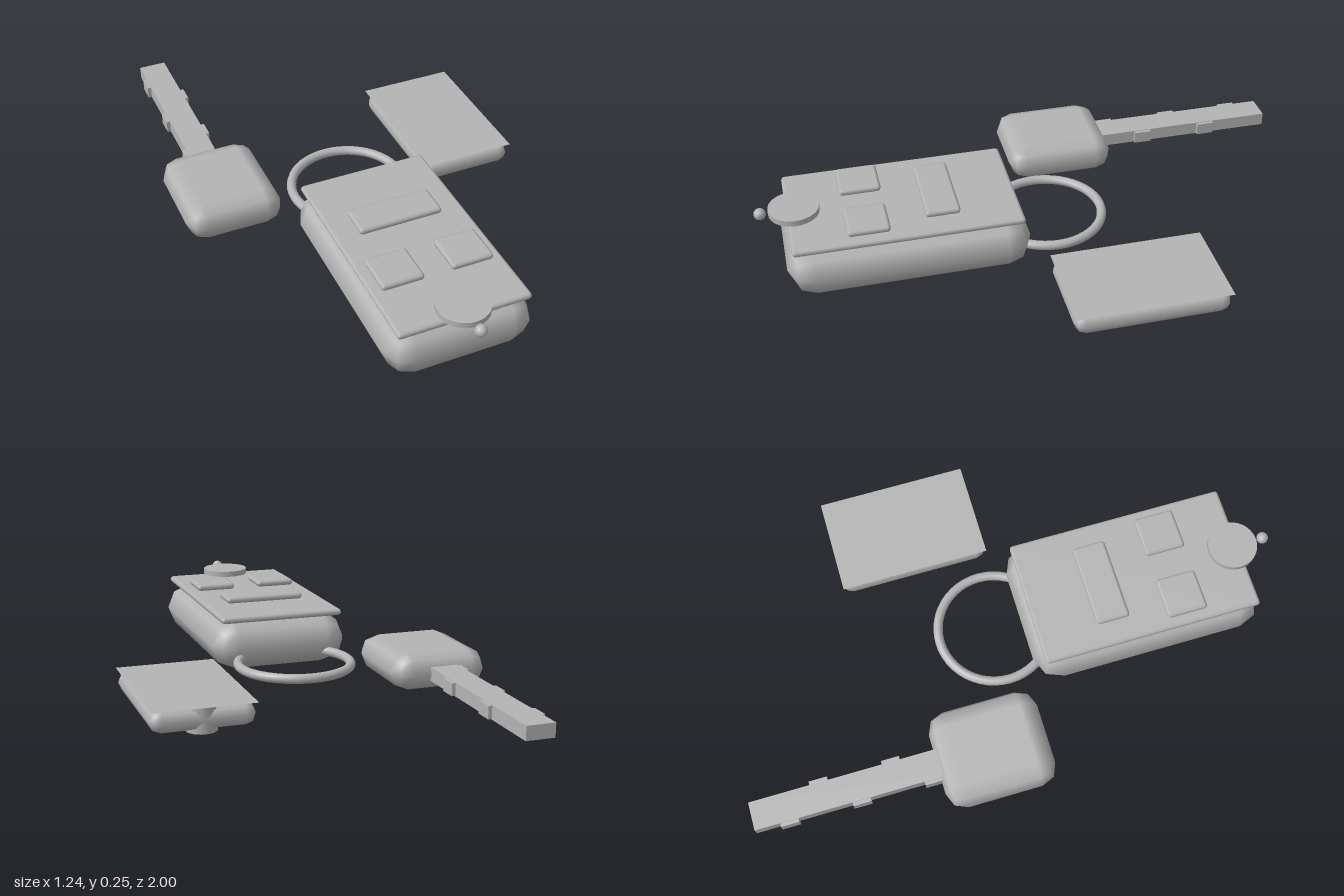
import * as THREE from 'three';

const grey = new THREE.MeshStandardMaterial({ color: 0xb4b4b4 });
grey.name = 'grey';
const greySheet = grey.clone();
greySheet.name = 'grey sheet';
greySheet.side = THREE.DoubleSide;

// Box with every edge rounded by two facets per quarter turn, given by its limits
function roundedBox([x0, x1], [y0, y1], [z0, z1], r) {
  const geo = new THREE.BoxGeometry(1, 1, 1, 3, 3, 3);
  const pos = geo.attributes.position;
  const half = new THREE.Vector3(x1 - x0, y1 - y0, z1 - z0).multiplyScalar(0.5);
  const v = new THREE.Vector3();
  const n = new THREE.Vector3();
  const outer = (c) => (Math.abs(c) > 0.4 ? Math.sign(c) : 0);
  for (let i = 0; i < pos.count; i++) {
    v.fromBufferAttribute(pos, i);
    n.set(outer(v.x), outer(v.y), outer(v.z)).normalize();
    pos.setXYZ(i,
      Math.sign(v.x) * (half.x - r) + n.x * r,
      Math.sign(v.y) * (half.y - r) + n.y * r,
      Math.sign(v.z) * (half.z - r) + n.z * r);
    geo.attributes.normal.setXYZ(i, n.x, n.y, n.z);
  }
  return geo.translate((x0 + x1) / 2, (y0 + y1) / 2, (z0 + z1) / 2);
}

function box([x0, x1], [y0, y1], [z0, z1]) {
  return new THREE.BoxGeometry(x1 - x0, y1 - y0, z1 - z0)
    .translate((x0 + x1) / 2, (y0 + y1) / 2, (z0 + z1) / 2);
}

export function createModel() {
  const model = new THREE.Group();
  model.name = 'keySet';
  const group = (name) => {
    const g = new THREE.Group();
    g.name = name;
    model.add(g);
    return g;
  };
  const add = (parent, name, geo, material = grey) => {
    const mesh = new THREE.Mesh(geo, material);
    mesh.name = name;
    parent.add(mesh);
    return mesh;
  };

  // Remote fob with face plate and buttons
  const fob = group('remoteFob');
  const fx = -0.015;
  add(fob, 'fobBody', roundedBox([fx - 0.255, fx + 0.255], [0.007, 0.187], [0.08, 0.915], 0.09));
  add(fob, 'facePlate', roundedBox([fx - 0.229, fx + 0.229], [0.189, 0.213], [0.107, 0.893], 0.012));
  const buttonY = [0.213, 0.237];
  add(fob, 'wideButton', roundedBox([fx - 0.148, fx + 0.148], buttonY, [0.315, 0.435], 0.012));
  for (const [name, cx] of [['rightButton', fx - 0.121], ['leftButton', fx + 0.121]]) {
    add(fob, name, roundedBox([cx - 0.074, cx + 0.074], buttonY, [0.56, 0.705], 0.012));
  }
  add(fob, 'roundButton', new THREE.CylinderGeometry(0.087, 0.087, 0.021, 32)
    .translate(fx, 0.2265, 0.865));
  add(fob, 'bead', new THREE.SphereGeometry(0.021, 12, 8).translate(fx, 0.224, 0.979));

  // Split ring joining the fob
  add(model, 'keyRing', new THREE.TorusGeometry(0.201, 0.017, 10, 48)
    .rotateX(Math.PI / 2).translate(fx, 0.061, -0.016));

  // Key: head, blade and teeth on both edges
  const key = group('key');
  add(key, 'keyHead', roundedBox([-0.62, -0.272], [0.007, 0.14], [-0.347, 0.047], 0.066));
  const bladeY = [0.049, 0.097];
  add(key, 'keyBlade', box([-0.497, -0.397], bladeY, [-1, -0.3]));
  const toothSpots = [-0.88, -0.754, -0.627, -0.498, -0.372];
  toothSpots.forEach((z, i) => {
    const x = i % 2 ? [-0.42, -0.384] : [-0.51, -0.47];
    add(key, 'keyTooth', box(x, [0.051, 0.095], [z - 0.032, z + 0.032]));
  });

  // Tag: rounded body, thin cover sheet and a vertical eyelet at the back edge
  const tag = group('tag');
  add(tag, 'tagBody', roundedBox([0.27, 0.618], [0.007, 0.084], [-0.498, 0.04], 0.038));
  add(tag, 'coverSheet', new THREE.PlaneGeometry(0.348, 0.538)
    .rotateX(-Math.PI / 2).translate(0.444, 0.0875, -0.23), greySheet);
  add(tag, 'eyelet', new THREE.CylinderGeometry(0.052, 0.052, 0.087, 24)
    .translate(0.444, 0.0435, -0.444));

  return model;
}
